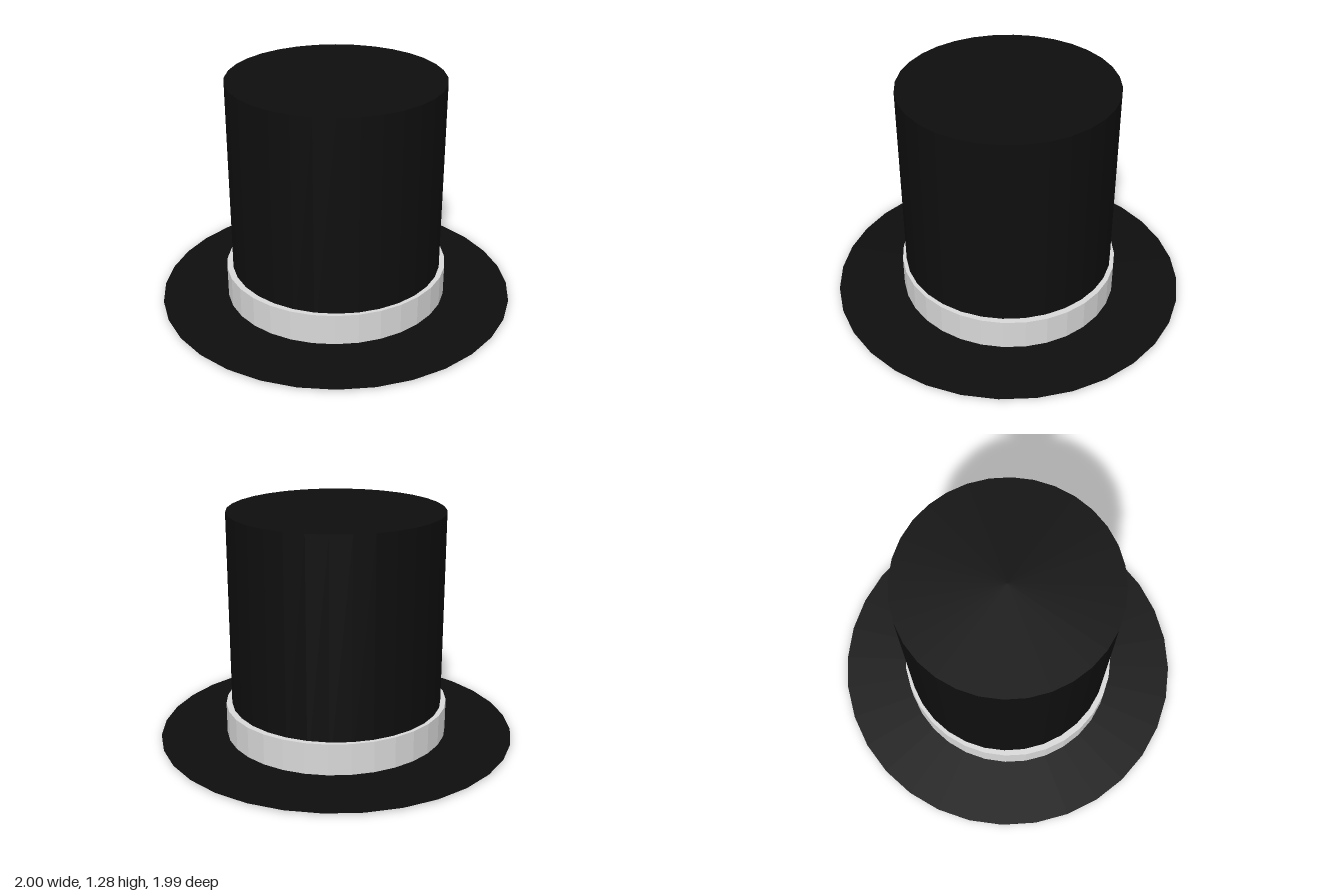
import * as THREE from 'three';

const SIDES = 32;

export function createModel() {
  const hat = new THREE.Group();
  hat.name = 'topHat';

  const felt = new THREE.MeshStandardMaterial({ color: 0x0e0e0e, flatShading: true });
  felt.name = 'black felt';
  const ribbon = new THREE.MeshStandardMaterial({ color: 0xd8d8d8, flatShading: true });
  ribbon.name = 'pale ribbon';

  // Upright drum between two heights, with separate x and z radii
  function drum(name, material, radiusX, radiusZ, bottom, top) {
    const geometry = new THREE.CylinderGeometry(1, 1, top - bottom, SIDES);
    geometry.scale(radiusX, 1, radiusZ);
    const mesh = new THREE.Mesh(geometry, material);
    mesh.name = name;
    mesh.position.y = (top + bottom) / 2;
    hat.add(mesh);
  }

  drum('crown', felt, 0.595, 0.595, 0, 1.285);
  drum('brim', felt, 1, 0.996, 0.01, 0.014);

  // Hat band: a ring hugging the crown, slightly wider across x
  const outline = new THREE.Shape();
  const opening = new THREE.Path();
  for (let i = 0; i < SIDES; i++) {
    const a = (i / SIDES) * Math.PI * 2;
    const c = Math.cos(a), s = Math.sin(a);
    outline[i ? 'lineTo' : 'moveTo'](0.63 * c, 0.616 * s);
    opening[i ? 'lineTo' : 'moveTo'](0.594 * c, 0.594 * s);
  }
  outline.closePath();
  opening.closePath();
  outline.holes.push(opening);
  const bandGeometry = new THREE.ExtrudeGeometry(outline, { depth: 0.177, bevelEnabled: false });
  bandGeometry.rotateX(-Math.PI / 2);
  const band = new THREE.Mesh(bandGeometry, ribbon);
  band.name = 'hatBand';
  band.position.y = 0.013;
  hat.add(band);

  return hat;
}
